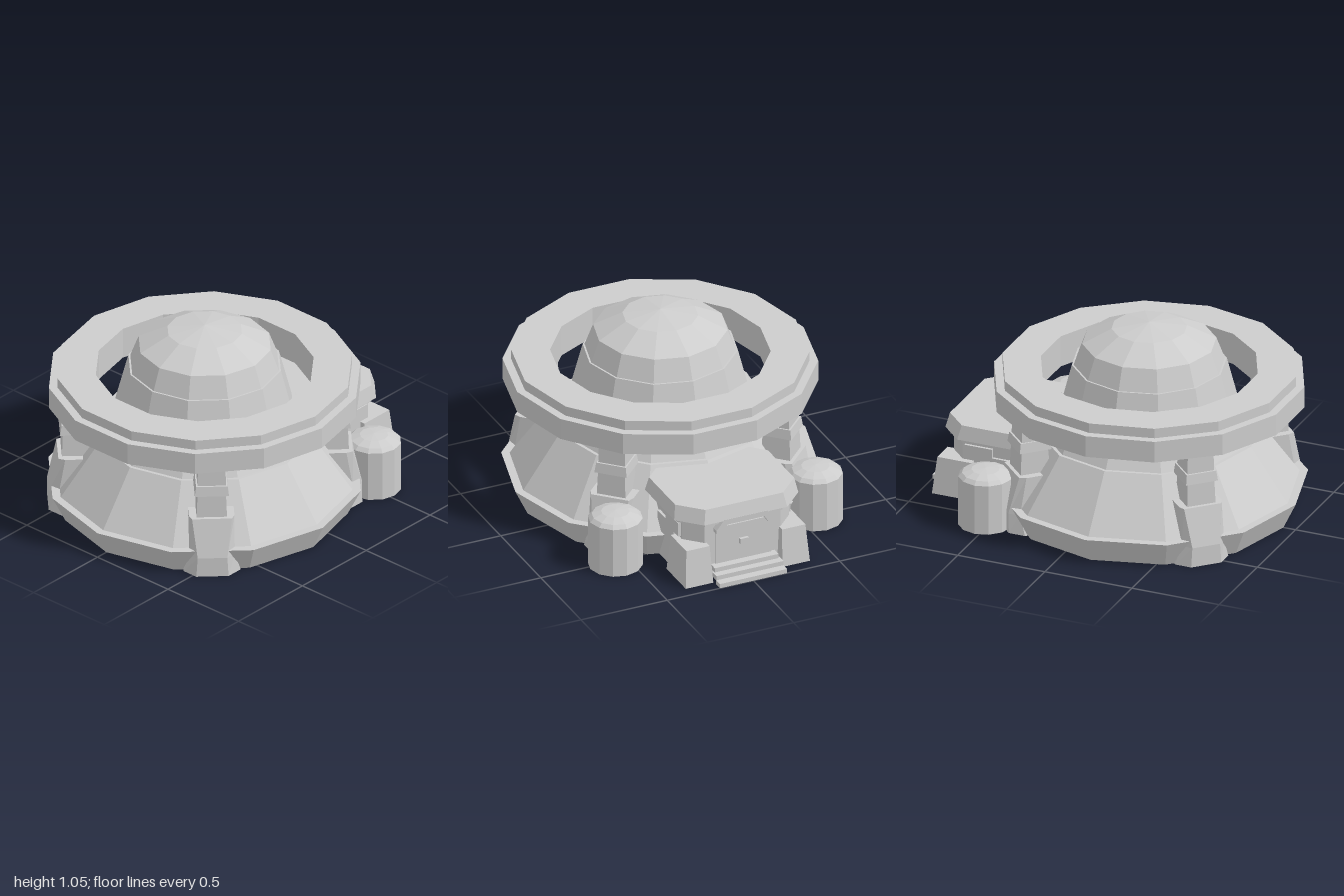
import * as THREE from 'three';

const CZ = 0.16; // z of the round building's axis

// Double-sided because the parts standing on the ground are open underneath
const stone = new THREE.MeshStandardMaterial({ color: 0xcccccc, side: THREE.DoubleSide });
stone.name = 'grey';

// Mesh with hard facets
function facet(name, geo) {
  const g = geo.index ? geo.toNonIndexed() : geo;
  g.computeVertexNormals();
  const mesh = new THREE.Mesh(g, stone);
  mesh.name = name;
  return mesh;
}

function lathe(name, profile, sides) {
  return facet(name, new THREE.LatheGeometry(profile.map(([r, y]) => new THREE.Vector2(r, y)), sides));
}

// Hull through convex sections [y, [[x, z], ...]], corners running from front to +x side;
// sections that start on the ground stay open there
function loft(name, sections) {
  const pos = [];
  const at = (s, i) => {
    const [y, pts] = sections[s];
    const p = pts[i % pts.length];
    return [p[0], y, p[1]];
  };
  const tri = (a, b, c) => pos.push(...a, ...b, ...c);
  const n = sections[0][1].length;
  const last = sections.length - 1;
  for (let s = 0; s < last; s++) {
    for (let i = 0; i < n; i++) {
      tri(at(s, i), at(s, i + 1), at(s + 1, i + 1));
      tri(at(s, i), at(s + 1, i + 1), at(s + 1, i));
    }
  }
  for (let i = 1; i < n - 1; i++) {
    tri(at(last, 0), at(last, i), at(last, i + 1));
    if (sections[0][0] > 0) tri(at(0, 0), at(0, i + 1), at(0, i));
  }
  const g = new THREE.BufferGeometry();
  g.setAttribute('position', new THREE.Float32BufferAttribute(pos, 3));
  return facet(name, g);
}

const rect = (x0, x1, z0, z1) => [[x0, z1], [x1, z1], [x1, z0], [x0, z0]];

// Rectangle with all four corners cut, by cutX along x and cutZ along z
const octagon = (half, front, back, cutX, cutZ = cutX) => [
  [cutX - half, front], [half - cutX, front], [half, front - cutZ], [half, back + cutZ],
  [half - cutX, back], [cutX - half, back], [-half, back + cutZ], [-half, front - cutZ],
];

function box(name, x0, x1, y0, y1, z0, z1) {
  const mesh = facet(name, new THREE.BoxGeometry(x1 - x0, y1 - y0, z1 - z0));
  mesh.position.set((x0 + x1) / 2, (y0 + y1) / 2, (z0 + z1) / 2);
  return mesh;
}

// Stepped column with a chamfered foot, standing radially on +z
function makePillar() {
  const pillar = new THREE.Group();
  pillar.name = 'pillar';
  pillar.add(
    loft('pillarFoot', [
      [0, octagon(0.15, 0.825, 0.525, 0.065)],
      [0.11, octagon(0.12, 0.825, 0.525, 0.042, 0.05)],
      [0.32, octagon(0.12, 0.775, 0.575, 0.015, 0.035)],
    ]),
    loft('pillarShaft', [
      [0.32, rect(-0.08, 0.08, 0.59, 0.755)],
      [0.45, rect(-0.075, 0.075, 0.6, 0.75)],
    ]),
    loft('pillarCollar', [
      [0.45, rect(-0.09, 0.09, 0.585, 0.765)],
      [0.505, rect(-0.083, 0.083, 0.59, 0.757)],
    ]),
    loft('pillarTop', [
      [0.505, rect(-0.075, 0.075, 0.597, 0.747)],
      [0.63, rect(-0.072, 0.072, 0.6, 0.744)],
    ]),
  );
  return pillar;
}

function makePorch() {
  const porch = new THREE.Group();
  porch.name = 'entrance';
  porch.add(
    loft('porchWalls', [
      [0, octagon(0.31, -0.34, -0.865, 0.09)],
      [0.33, octagon(0.31, -0.34, -0.865, 0.09)],
    ]),
    loft('porchEave', [
      [0.315, octagon(0.335, -0.32, -0.88, 0.11)],
      [0.345, octagon(0.335, -0.32, -0.88, 0.11)],
    ]),
    loft('porchRoof', [
      [0.34, octagon(0.36, -0.3, -0.905, 0.12)],
      [0.42, octagon(0.345, -0.32, -0.885, 0.12)],
    ]),
  );

  // Door, its angled hood and handle
  porch.add(box('door', -0.16, 0.16, 0.07, 0.29, -0.873, -0.86));
  const hood = new THREE.Shape([
    [-0.17, 0.27], [-0.135, 0.27], [-0.105, 0.318], [0.105, 0.318], [0.135, 0.27],
    [0.17, 0.27], [0.17, 0.29], [0.125, 0.345], [-0.125, 0.345], [-0.17, 0.29],
  ].map(([x, y]) => new THREE.Vector2(x, y)));
  const hoodMesh = facet('doorHood', new THREE.ExtrudeGeometry(hood, { depth: 0.04, bevelEnabled: false }));
  hoodMesh.position.z = -0.905;
  porch.add(hoodMesh, box('doorHandle', -0.025, 0.025, 0.17, 0.2, -0.89, -0.865));

  // Steps
  porch.add(
    box('lowerStep', -0.195, 0.195, 0, 0.025, -1, -0.95),
    box('middleStep', -0.195, 0.195, 0.025, 0.05, -0.955, -0.9),
    box('upperStep', -0.185, 0.185, 0.05, 0.075, -0.915, -0.86),
  );

  // Corner buttresses and side panels
  for (const s of [-1, 1]) {
    const span = (a, b, z0, z1) => rect(Math.min(s * a, s * b), Math.max(s * a, s * b), z0, z1);
    porch.add(
      loft('buttress', [
        [0, span(0.2, 0.36, -0.93, -0.69)],
        [0.21, span(0.21, 0.345, -0.905, -0.71)],
      ]),
      loft('sidePanel', [
        [0, span(0.3, 0.325, -0.7, -0.5)],
        [0.25, span(0.3, 0.325, -0.7, -0.5)],
      ]),
      loft('sidePanelTop', [
        [0.22, span(0.3, 0.325, -0.76, -0.6)],
        [0.3, span(0.3, 0.325, -0.76, -0.6)],
      ]),
    );
  }
  return porch;
}

export function createModel() {
  const model = new THREE.Group();
  model.name = 'domedBuilding';

  // Round building: hollow flared base, sloped wall, dome and ring
  const tower = new THREE.Group();
  tower.name = 'tower';
  tower.position.z = CZ;
  tower.add(lathe('base', [[0.77, 0], [0.84, 0.145], [0, 0.145]], 12));
  tower.add(lathe('wall', [
    [0.795, 0.145], [0.585, 0.435], [0.567, 0.435], [0.5, 0.55], [0.48, 0.55], [0.41, 0.82], [0.4, 0.82],
  ], 12));
  tower.add(lathe('dome', [[0.4, 0.82], [0.355, 0.94], [0.2, 1.02], [0, 1.05]], 12));
  const ring = lathe('ring', [
    [0.58, 0.625], [0.83, 0.625], [0.83, 0.745], [0.785, 0.745], [0.785, 0.8], [0.58, 0.8], [0.58, 0.625],
  ], 14);
  ring.rotation.y = Math.PI / 2;
  tower.add(ring);

  // Four diagonal pillars
  for (let i = 0; i < 4; i++) {
    const pillar = makePillar();
    pillar.rotation.y = Math.PI / 4 + (i * Math.PI) / 2;
    tower.add(pillar);
  }
  model.add(tower);

  // Storage tanks beside the entrance
  for (const s of [-1, 1]) {
    const tank = lathe('tank', [
      [0.145, 0], [0.145, 0.28], [0.125, 0.3], [0.075, 0.317], [0, 0.323],
    ], 12);
    tank.position.set(s * 0.58, 0, -0.525);
    model.add(tank);
  }

  model.add(makePorch());
  return model;
}
